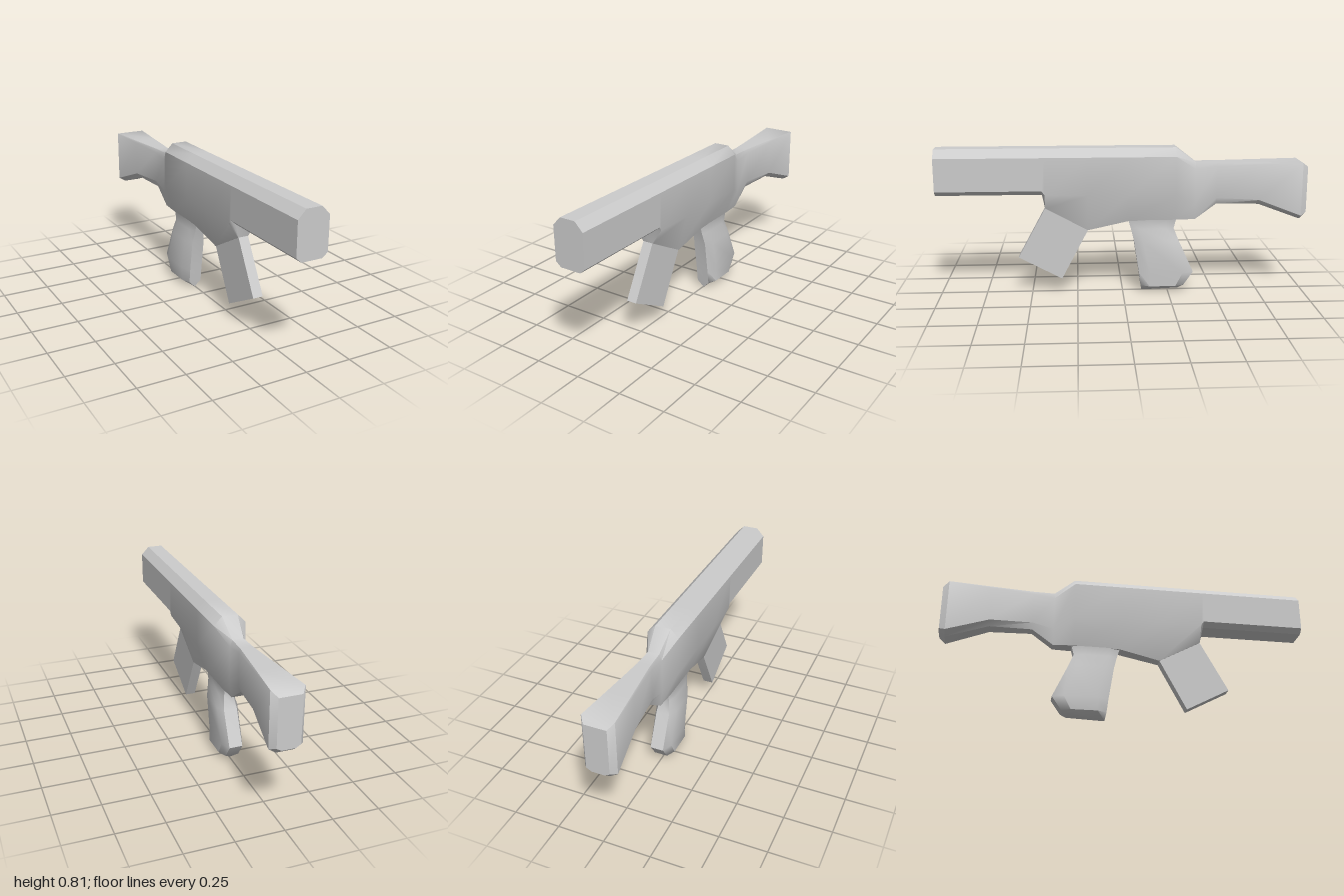
import * as THREE from 'three';
import { toCreasedNormals } from 'three/addons/utils/BufferGeometryUtils.js';

const material = new THREE.MeshStandardMaterial({ color: 0xcccccc });

// Skin a list of equal-length rings; each ring turns counter-clockwise when
// looking back along the loft direction. Both ends are capped.
function loft(name, rings, crease = 0.9) {
  const n = rings[0].length;
  const points = rings.flat();
  const index = [];
  for (let i = 0; i < rings.length - 1; i++) {
    for (let j = 0; j < n; j++) {
      const k = (j + 1) % n;
      const a = i * n + j, b = i * n + k, c = b + n, d = a + n;
      index.push(a, d, c, a, c, b);
    }
  }
  const last = (rings.length - 1) * n;
  for (let j = 1; j < n - 1; j++) {
    index.push(0, j, j + 1, last, last + j + 1, last + j);
  }
  const geometry = new THREE.BufferGeometry().setFromPoints(points);
  geometry.setIndex(index);
  const mesh = new THREE.Mesh(toCreasedNormals(geometry, crease), material);
  mesh.name = name;
  return mesh;
}

const v = (x, y, z) => new THREE.Vector3(x, y, z);

// Upright eight-sided section with separate top and bottom chamfers
function section([z, top, topHalf, shoulder, half, waist, bottomHalf, bottom]) {
  const right = [[bottomHalf, bottom], [half, waist], [half, shoulder], [topHalf, top]];
  const left = right.map(([x, y]) => [-x, y]).reverse();
  return [...right, ...left].map(([x, y]) => v(x, y, z));
}

// Level eight-sided section between a front and a rear z
function gripSection([y, front, rear, half, endHalf, drop = 0]) {
  const inset = (front - rear) * 0.2;
  const right = [[endHalf, front], [half, front - inset], [half, rear + inset], [endHalf, rear]];
  const left = right.map(([x, z]) => [-x, z]).reverse();
  return [...right, ...left].map(([x, z]) => v(x, y + drop * (front - z), z));
}

export function createModel() {
  const group = new THREE.Group();
  group.name = 'blockyRifleProp';

  // Barrel housing, receiver and shoulder stock in one continuous skin
  // z, top, topHalf, shoulder, half, waist, bottomHalf, bottom
  group.add(loft('bodyAndStock', [
    [1, 0.81, 0.042, 0.765, 0.085, 0.587, 0.056, 0.562],
    [0.435, 0.81, 0.042, 0.765, 0.085, 0.587, 0.056, 0.562],
    [0.42, 0.81, 0.042, 0.765, 0.085, 0.565, 0.03, 0.48],
    [0.19, 0.81, 0.042, 0.765, 0.085, 0.56, 0.03, 0.355],
    [-0.03, 0.81, 0.042, 0.765, 0.085, 0.56, 0.037, 0.405],
    [-0.285, 0.81, 0.042, 0.765, 0.085, 0.56, 0.038, 0.41],
    [-0.395, 0.725, 0.03, 0.69, 0.042, 0.5, 0.03, 0.41],
    [-0.51, 0.725, 0.034, 0.705, 0.042, 0.53, 0.028, 0.495],
    [-0.74, 0.725, 0.058, 0.715, 0.063, 0.52, 0.036, 0.493],
    [-0.967, 0.725, 0.083, 0.722, 0.085, 0.435, 0.046, 0.41],
    [-1, 0.7, 0.058, 0.697, 0.06, 0.45, 0.034, 0.435],
  ].map(section), 0.7));

  // Forward-raked magazine: front (z, y) and rear (z, y) at each level
  group.add(loft('magazine', [
    [0.40, 0.52, 0.17, 0.40],
    [0.42, 0.48, 0.19, 0.355],
    [0.57, 0.205, 0.335, 0.08],
  ].map(([fz, fy, rz, ry]) => [
    v(0.028, fy, fz), v(0.028, ry, rz), v(-0.028, ry, rz), v(-0.028, fy, fz),
  ]), 0.6));

  // Pistol grip, swelling below the neck and ending in a keel
  // y, front, rear, half, endHalf, drop
  group.add(loft('grip', [
    [0.46, -0.02, -0.3, 0.05, 0.035],
    [0.41, -0.03, -0.293, 0.038, 0.026],
    [0.36, -0.045, -0.28, 0.04, 0.026],
    [0.29, -0.062, -0.308, 0.058, 0.036],
    [0.11, -0.09, -0.39, 0.058, 0.036],
    [0.035, -0.1, -0.338, 0.058, 0.036],
    [0, -0.106, -0.31, 0.004, 0.003, 0.04],
  ].map(gripSection), 0.95));

  return group;
}
